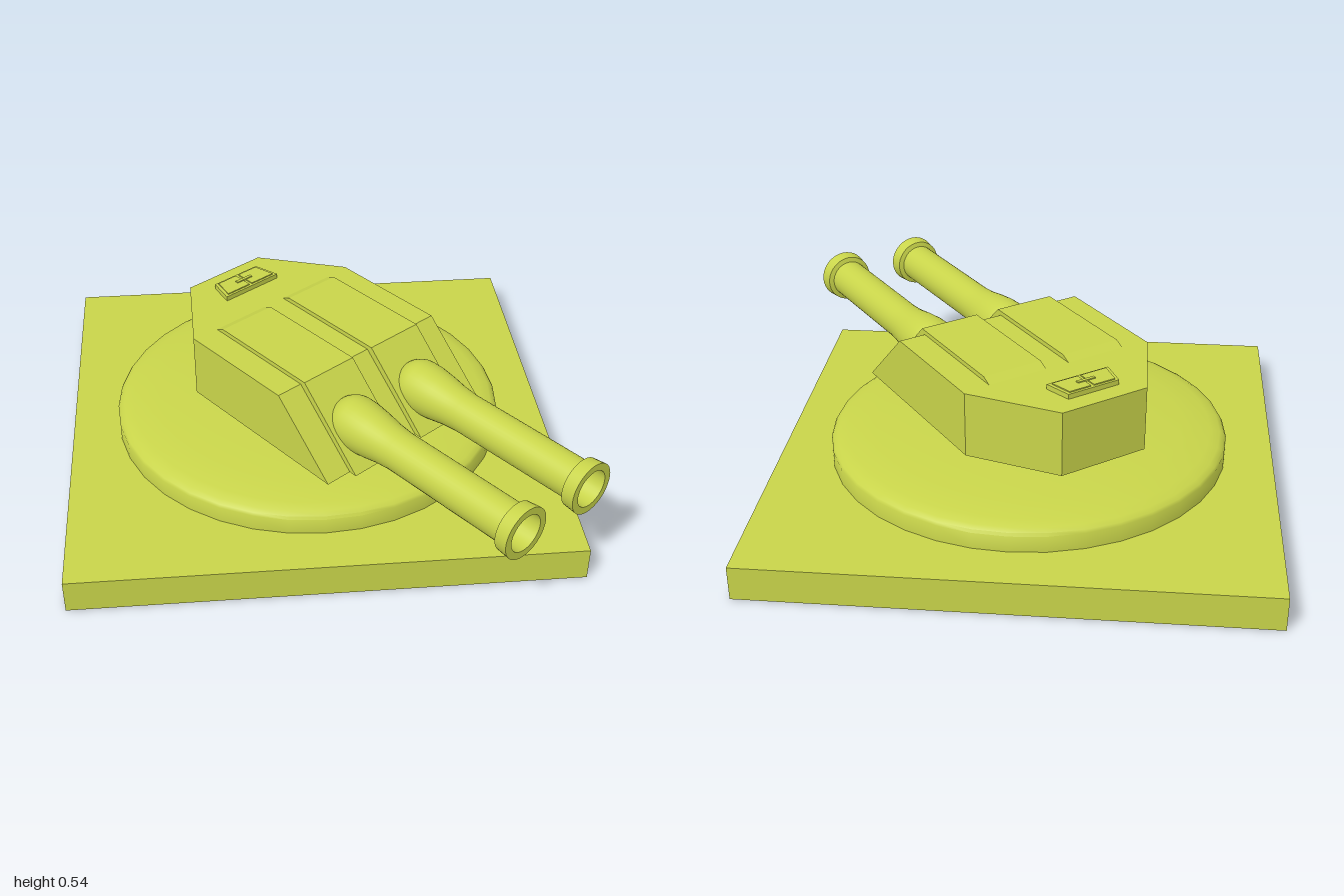
import * as THREE from 'three';
import { toCreasedNormals } from 'three/addons/utils/BufferGeometryUtils.js';

const material = new THREE.MeshStandardMaterial({ color: 0xc8d44a });

function part(name, geometry, parent) {
  const mesh = new THREE.Mesh(geometry, material);
  mesh.name = name;
  parent.add(mesh);
  return mesh;
}

const shapeOf = (pts) => new THREE.Shape(pts.map(([x, y]) => new THREE.Vector2(x, y)));

// Flat outline given as (x, z), raised from y0 to y1
function plate(outline, y0, y1) {
  return new THREE.ExtrudeGeometry(shapeOf(outline.map(([x, z]) => [x, -z])), { depth: y1 - y0, bevelEnabled: false })
    .rotateX(-Math.PI / 2).translate(0, y0, 0);
}

// Side profile given as (z, y), spanning x0 to x1
function sideProfile(profile, x0, x1) {
  return new THREE.ExtrudeGeometry(shapeOf(profile), { depth: x1 - x0, bevelEnabled: false })
    .rotateY(-Math.PI / 2).translate(x1, 0, 0);
}

function lathe(profile, segments) {
  const geo = new THREE.LatheGeometry(profile.map(([r, y]) => new THREE.Vector2(r, y)), segments);
  return toCreasedNormals(geo, 0.6);
}

function turretBody() {
  const geo = plate([
    [-0.37, 0.52], [0.37, 0.52], [0.37, -0.195], [0.167, -0.475], [-0.167, -0.475], [-0.37, -0.195],
  ], 0.275, 0.51);
  // Lean the front face back by pulling its top edge rearward
  const p = geo.attributes.position;
  for (let i = 0; i < p.count; i++) {
    if (p.getZ(i) > 0.5 && p.getY(i) > 0.4) p.setZ(i, 0.27);
  }
  geo.computeVertexNormals();
  return geo;
}

function barrelProfile() {
  const pts = [];
  // Rounded root
  for (let i = 0; i <= 10; i++) {
    const a = (i / 10) * Math.PI / 2;
    pts.push([0.095 * Math.sin(a), 0.43 - 0.095 * Math.cos(a)]);
  }
  // Taper, tube, muzzle ring and bore
  pts.push([0.094, 0.47], [0.087, 0.53], [0.077, 0.59], [0.072, 0.65], [0.072, 1.145],
    [0.09, 1.15], [0.095, 1.2], [0.068, 1.2], [0.064, 1.05], [0, 1.05]);
  return pts;
}

export function createModel() {
  const model = new THREE.Group();
  model.name = 'gunTurret';

  // Square base slab
  part('baseSlab', new THREE.BoxGeometry(1.75, 0.12, 1.75), model).position.set(-0.025, 0.06, -0.125);

  // Everything above the slab shares one vertical axis
  const mount = new THREE.Group();
  mount.name = 'mount';
  mount.position.set(-0.025, 0, -0.125);
  model.add(mount);

  part('domedDisc', lathe([
    [0, 0.121], [0.708, 0.121], [0.708, 0.18], [0.702, 0.19], [0.685, 0.2],
    [0.65, 0.21], [0.55, 0.222], [0.4, 0.233], [0.2, 0.24], [0, 0.243],
  ], 36), mount);
  part('neck', new THREE.CylinderGeometry(0.107, 0.107, 0.06, 32), mount).position.y = 0.255;

  // Turning turret
  const turret = new THREE.Group();
  turret.name = 'turret';
  turret.rotation.y = 0.6435;
  mount.add(turret);

  part('turretBody', turretBody(), turret);

  const slabProfile = [
    [-0.185, 0.5], [-0.185, 0.51], [-0.15, 0.526], [0.29, 0.526], [0.55, 0.275], [0.5, 0.275], [0.25, 0.5],
  ];
  for (const side of [-1, 1]) {
    const label = side > 0 ? 'left' : 'right';
    // Raised armour strip running over the roof and down the front
    part(label + 'ArmourStrip', sideProfile(slabProfile, side * 0.1575 - 0.1125, side * 0.1575 + 0.1125), turret);
    // Barrel
    const barrel = part(label + 'Barrel', lathe(barrelProfile(), 36).rotateX(Math.PI / 2), turret);
    barrel.position.set(side * 0.16, 0.382, 0);
  }

  // Roof hatch with two doors and a handle
  const hatch = new THREE.Group();
  hatch.name = 'hatch';
  turret.add(hatch);
  part('hatchFrame', plate([[-0.123, -0.309], [0.123, -0.309], [0.1, -0.407], [-0.1, -0.407]], 0.505, 0.528), hatch);
  for (const s of [-1, 1]) {
    const door = [[s * 0.006, -0.318], [s * 0.108, -0.318], [s * 0.09, -0.398], [s * 0.006, -0.398]];
    part('hatchDoor', plate(door, 0.527, 0.532), hatch);
  }
  part('hatchHandle', new THREE.BoxGeometry(0.07, 0.006, 0.012), hatch).position.set(0, 0.533, -0.358);

  return model;
}
